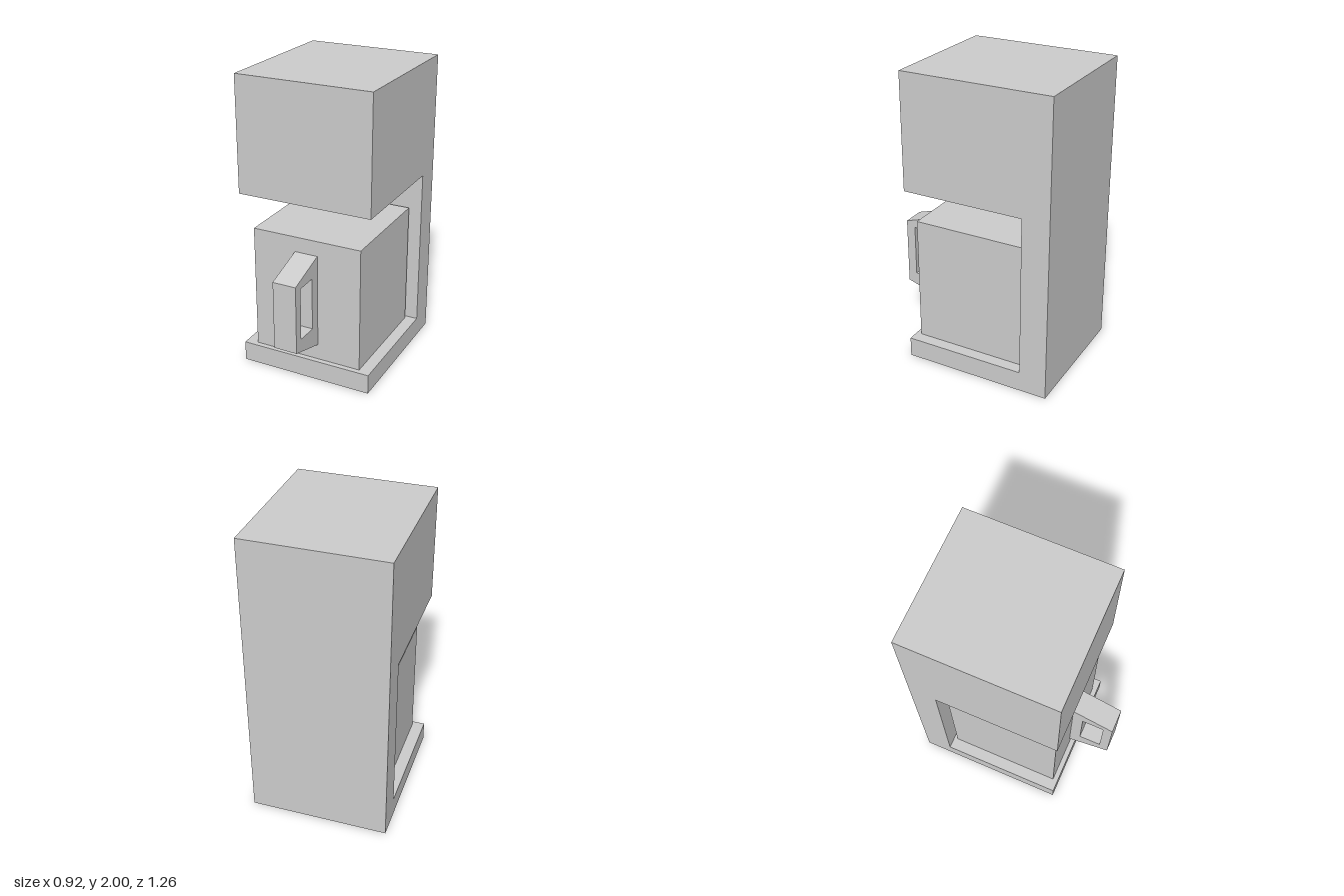
import * as THREE from 'three';

const material = new THREE.MeshStandardMaterial({ color: 0xcccccc, flatShading: true });

const toPoints = (list) => list.map(([z, y]) => new THREE.Vector2(z, y));

// Side profile given as [z, y] points, extruded across x and centred on x = 0
function sideProfile(name, outline, width, hole) {
  const shape = new THREE.Shape(toPoints(outline));
  if (hole) shape.holes.push(new THREE.Path(toPoints(hole)));
  const geometry = new THREE.ExtrudeGeometry(shape, { depth: width, bevelEnabled: false });
  geometry.translate(0, 0, -width / 2).rotateY(-Math.PI / 2);
  const mesh = new THREE.Mesh(geometry, material);
  mesh.name = name;
  return mesh;
}

export function createModel() {
  const model = new THREE.Group();
  model.name = 'coffeeMaker';

  // C-shaped housing: base plate, rear column and overhanging top
  model.add(sideProfile('housing', [
    [-0.63, 0], [0.38, 0], [0.38, 0.135], [-0.445, 0.135],
    [-0.445, 1.222], [0.38, 1.222], [0.38, 2], [-0.63, 2],
  ], 0.92));

  // Jug standing on the base plate
  const jug = new THREE.Group();
  jug.name = 'jug';
  const jugBody = new THREE.Mesh(new THREE.BoxGeometry(0.76, 0.85, 0.765), material);
  jugBody.name = 'jugBody';
  jugBody.position.set(0, 0.56, -0.0375);

  // Tapered handle with a rectangular finger opening
  const handle = sideProfile('jugHandle',
    [[0.345, 0.242], [0.63, 0.33], [0.63, 0.795], [0.345, 0.883]], 0.16,
    [[0.418, 0.4], [0.418, 0.757], [0.567, 0.757], [0.567, 0.4]]);
  jug.add(jugBody, handle);
  model.add(jug);

  return model;
}
